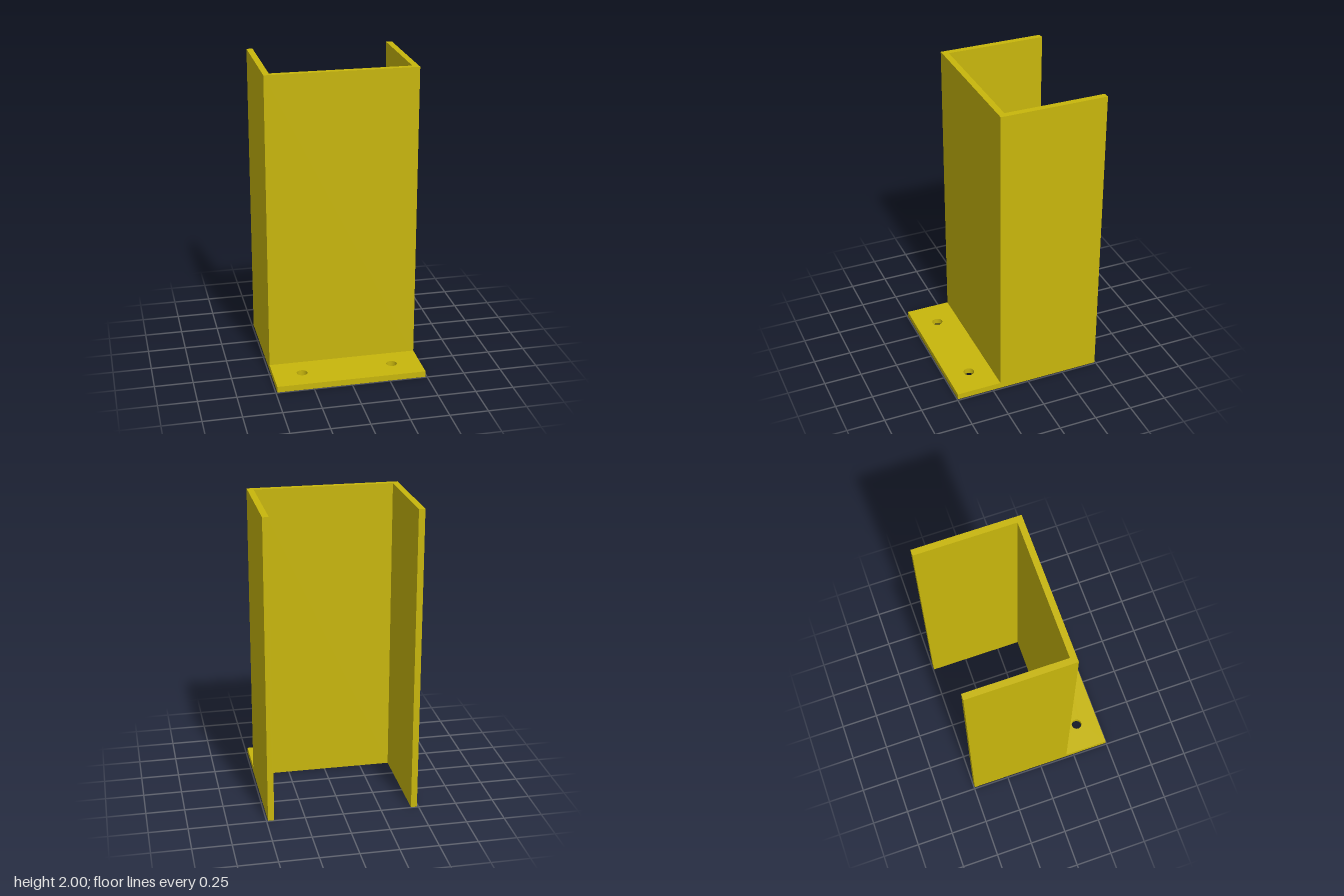
import * as THREE from 'three';

const HALF_W = 0.49, BACK = -0.495, WALL = 0.195, FRONT = 0.495;
const T = 0.04, HEIGHT = 2;
const HOLE_X = 0.3, HOLE_Z = 0.343, HOLE_R = 0.035;

// Extrudes a plan outline of [x, z] points upward from y = 0.
function extrudePlan(points, height, holes = []) {
  const shape = new THREE.Shape(points.map(([x, z]) => new THREE.Vector2(x, -z)));
  for (const [x, z, r] of holes) {
    shape.holes.push(new THREE.Path().absarc(x, -z, r, 0, Math.PI * 2, true));
  }
  const geometry = new THREE.ExtrudeGeometry(shape, { depth: height, bevelEnabled: false, curveSegments: 32 });
  return geometry.rotateX(-Math.PI / 2);
}

export function createModel() {
  const group = new THREE.Group();
  group.name = 'channelBracket';
  const yellow = new THREE.MeshStandardMaterial({ color: 0xc8b60c });
  yellow.name = 'mustard yellow';

  // Tall U-shaped channel, open at the back
  const inner = HALF_W - T;
  const channel = new THREE.Mesh(extrudePlan([
    [-HALF_W, WALL], [HALF_W, WALL], [HALF_W, BACK], [inner, BACK],
    [inner, WALL - T], [-inner, WALL - T], [-inner, BACK], [-HALF_W, BACK],
  ], HEIGHT), yellow);
  channel.name = 'channel';

  // Foot flange with two bolt holes
  const flange = new THREE.Mesh(extrudePlan([
    [-HALF_W, FRONT], [HALF_W, FRONT], [HALF_W, WALL], [-HALF_W, WALL],
  ], T, [-1, 1].map((s) => [s * HOLE_X, HOLE_Z, HOLE_R])), yellow);
  flange.name = 'footFlange';

  group.add(channel, flange);
  return group;
}
